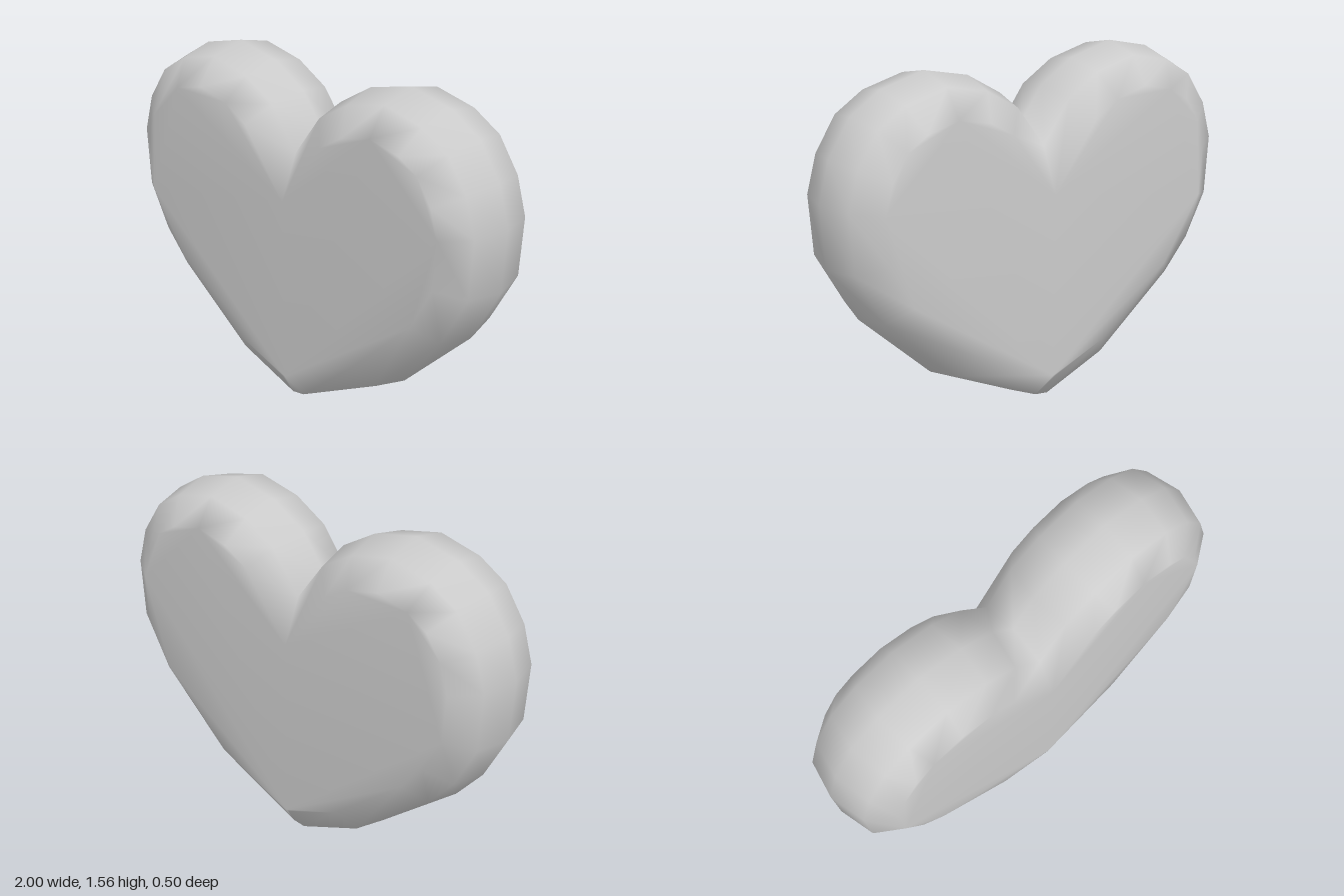
import * as THREE from 'three';

// Heart outline, counter-clockwise seen from the front
const lobe = [[1, 1.08], [0.95, 1.26], [0.845, 1.42], [0.7, 1.51], [0.49, 1.56], [0.275, 1.51], [0.11, 1.41]];
const outline = [
  [0.05, 0.01], [0.49, 0.22], [0.84, 0.55], [0.98, 0.8],
  ...lobe, [0, 1.26], ...lobe.map(([x, y]) => [-x, y]).reverse(),
  [-0.98, 0.8], [-0.87, 0.59], [-0.74, 0.44], [-0.35, 0.13], [-0.03, 0],
].map(([x, y]) => new THREE.Vector2(x, y));

// Rounded rim: depth and inset of each ring, back to front
const rings = [[-0.25, 0.155], [-0.165, 0.038], [0, 0], [0.165, 0.038], [0.25, 0.155]];

// Moves every outline corner inwards along its mitre
function inset(points, d) {
  const n = points.length;
  const inward = (a, b) => new THREE.Vector2(a.y - b.y, b.x - a.x).normalize();
  return points.map((p, i) => {
    const n0 = inward(points[(i + n - 1) % n], p);
    const n1 = inward(p, points[(i + 1) % n]);
    return n0.clone().add(n1).multiplyScalar(d / (1 + n0.dot(n1))).add(p);
  });
}

function heartGeometry() {
  const n = outline.length;
  const positions = [];
  const index = [];
  for (const [z, d] of rings) {
    for (const p of inset(outline, d)) positions.push(p.x, p.y, z);
  }
  // Rim
  for (let r = 0; r < rings.length - 1; r++) {
    for (let i = 0; i < n; i++) {
      const a = r * n + i;
      const b = r * n + (i + 1) % n;
      index.push(a, b, b + n, a, b + n, a + n);
    }
  }
  // Flat back and front faces
  const top = (rings.length - 1) * n;
  const face = inset(outline, rings[0][1]);
  for (const [a, b, c] of THREE.ShapeUtils.triangulateShape(face, [])) {
    index.push(a + top, b + top, c + top, a, c, b);
  }
  const geometry = new THREE.BufferGeometry();
  geometry.setAttribute('position', new THREE.Float32BufferAttribute(positions, 3));
  geometry.setIndex(index);
  geometry.computeVertexNormals();
  return geometry;
}

export function createModel() {
  const group = new THREE.Group();
  const material = new THREE.MeshStandardMaterial({ color: 0xcccccc });
  const heart = new THREE.Mesh(heartGeometry(), material);
  heart.name = 'heart';
  group.add(heart);
  return group;
}
